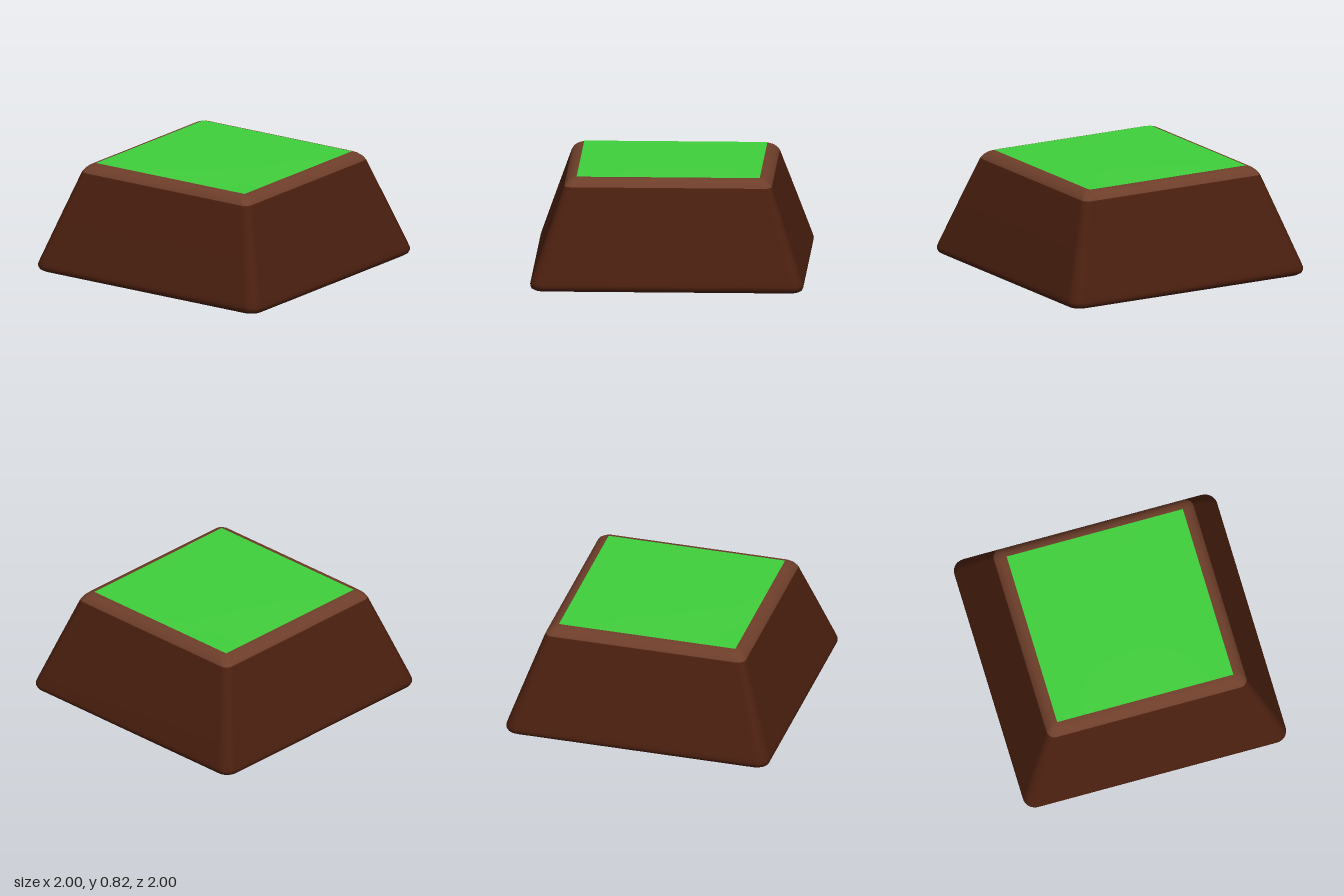
import * as THREE from 'three';

const CORNER_STEPS = 8;
const RING = 4 * (CORNER_STEPS + 1);

// Rounded-square cross-sections from the base centre up: [half width, height, corner radius]
const SECTIONS = [
  [0.001, 0, 0.0005], [0.5, 0.002, 0.04], [0.94, 0.008, 0.07], [0.97, 0.014, 0.08],
  [0.989, 0.027, 0.085], [0.998, 0.045, 0.09], [0.999, 0.062, 0.09], [0.99, 0.092, 0.09],
  [0.877, 0.417, 0.075], [0.765, 0.735, 0.06], [0.759, 0.75, 0.06],
  [0.744, 0.773, 0.06], [0.722, 0.793, 0.06], [0.696, 0.805, 0.055],
  [0.665, 0.81, 0.04], [0.6, 0.81, 0.03], [0.001, 0.81, 0.0005],
];
const RIM_START = 10;

// One smooth loft through all sections
function loft(sections) {
  const positions = [], index = [];
  for (const [half, y, r] of sections) {
    for (let c = 0; c < 4; c++) {
      const mid = Math.PI / 4 + c * Math.PI / 2;
      const cx = Math.sign(Math.cos(mid)) * (half - r);
      const cz = Math.sign(Math.sin(mid)) * (half - r);
      for (let s = 0; s <= CORNER_STEPS; s++) {
        const a = (c + s / CORNER_STEPS) * Math.PI / 2;
        positions.push(cx + r * Math.cos(a), y, cz + r * Math.sin(a));
      }
    }
  }
  for (let k = 0; k < sections.length - 1; k++) {
    for (let i = 0; i < RING; i++) {
      const j = (i + 1) % RING;
      const a = k * RING + i, b = k * RING + j;
      index.push(a, a + RING, b, b, a + RING, b + RING);
    }
  }
  const geometry = new THREE.BufferGeometry();
  geometry.setAttribute('position', new THREE.Float32BufferAttribute(positions, 3));
  geometry.setIndex(index);
  geometry.computeVertexNormals();
  return geometry;
}

// Takes a band of the loft, keeping its smooth normals across the colour seam
function band(geometry, from, to) {
  const part = geometry.clone();
  const indices = Array.from(geometry.index.array);
  part.setIndex(indices.slice(from * RING * 6, to * RING * 6));
  return part;
}

export function createModel() {
  const model = new THREE.Group();
  model.name = 'keycap';
  const add = (name, geometry, color) => {
    const mesh = new THREE.Mesh(geometry, new THREE.MeshStandardMaterial({ color }));
    mesh.name = name;
    model.add(mesh);
  };

  // Tapered body and its lighter rounded rim
  const shell = loft(SECTIONS);
  add('body', band(shell, 0, RIM_START), 0x4a1f0f);
  add('rim', band(shell, RIM_START, SECTIONS.length - 1), 0x6e3e2a);

  // Slightly crowned square top panel
  const panel = new THREE.PlaneGeometry(1.34, 1.34, 12, 12).rotateX(-Math.PI / 2);
  const p = panel.attributes.position;
  for (let i = 0; i < p.count; i++) {
    const u = p.getX(i) / 0.67, v = p.getZ(i) / 0.67;
    p.setY(i, 0.812 + 0.004 * (1 - u * u) * (1 - v * v));
  }
  panel.computeVertexNormals();
  add('topPanel', panel, 0x40d03c);

  return model;
}
